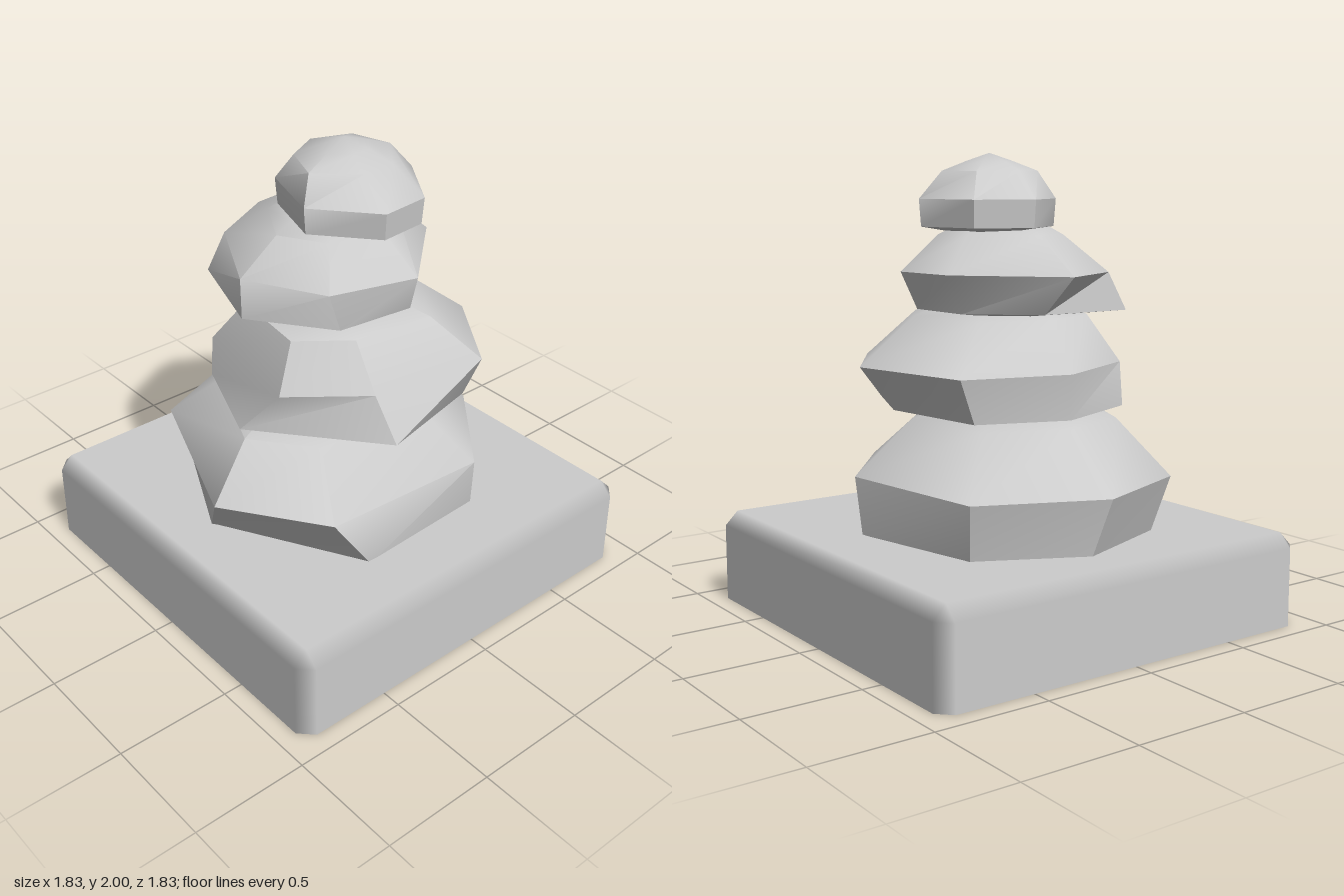
import * as THREE from 'three';
import { toCreasedNormals } from 'three/addons/utils/BufferGeometryUtils.js';

const material = new THREE.MeshStandardMaterial({ color: 0xcccccc, side: THREE.DoubleSide });

// Joins two neighbouring loops of n points with a band of triangles
function band(index, low, high, n) {
  for (let i = 0; i < n; i++) {
    const j = (i + 1) % n;
    index.push(low + j, low + i, high + i, low + j, high + i, high + j);
  }
}

function centre(loop) {
  return [0, 1].map((a) => loop.reduce((sum, p) => sum + p[a], 0) / loop.length);
}

// Scales a loop of [x, z] points about its own centre
function shrink(loop, k) {
  const [cx, cz] = centre(loop);
  return loop.map(([x, z]) => [cx + (x - cx) * k, cz + (z - cz) * k]);
}

// A rough stone: foot and girdle loops are given, the shoulder is the girdle
// scaled and shifted, and the underside and crown shrink towards their centres.
// heights: underside, foot, girdle, shoulder, crown, summit
function stone(name, heights, foot, girdle, [sx, sz, dx, dz], crownScale) {
  const shoulder = girdle.map(([x, z]) => [x * sx + dx, z * sz + dz]);
  const crown = shrink(shoulder, crownScale);
  const loops = [shrink(foot, 0.6), foot, girdle, shoulder, crown];
  const n = foot.length;
  const positions = [];
  const index = [];
  loops.forEach((loop, s) => {
    loop.forEach(([x, z]) => positions.push(x, heights[s], z));
    if (s > 0) band(index, (s - 1) * n, s * n, n);
  });
  // Closing fans below and above
  const [bx, bz] = centre(foot);
  const [tx, tz] = centre(crown);
  positions.push(bx, heights[0], bz, tx, heights[5], tz);
  const base = loops.length * n;
  for (let i = 0; i < n; i++) {
    const j = (i + 1) % n;
    index.push(base, i, j, base + 1, base - n + j, base - n + i);
  }
  const geometry = new THREE.BufferGeometry();
  geometry.setAttribute('position', new THREE.Float32BufferAttribute(positions, 3));
  geometry.setIndex(index);
  const mesh = new THREE.Mesh(toCreasedNormals(geometry, 0.7), material);
  mesh.name = name;
  return mesh;
}

// Square plinth with softly shaded chamfers and an open underside
function plinth() {
  const outer = 0.915, inner = 0.855;
  const positions = [], normals = [], index = [];
  for (const y of [0, 0.34, 0.4]) {
    const isTop = y === 0.4;
    const r = isTop ? inner : outer;
    for (let k = 0; k < 4; k++) {
      const c = Math.round(Math.cos((k * Math.PI) / 2));
      const s = Math.round(Math.sin((k * Math.PI) / 2));
      for (const side of [-inner, inner]) {
        positions.push(c * r - s * side, y, s * r + c * side);
        normals.push(...(isTop ? [0, 1, 0] : [c, 0, s]));
      }
    }
  }
  band(index, 0, 8, 8);
  band(index, 8, 16, 8);
  index.push(16, 20, 18, 16, 22, 20);
  const geometry = new THREE.BufferGeometry();
  geometry.setAttribute('position', new THREE.Float32BufferAttribute(positions, 3));
  geometry.setAttribute('normal', new THREE.Float32BufferAttribute(normals, 3));
  geometry.setIndex(index);
  const mesh = new THREE.Mesh(geometry, material);
  mesh.name = 'plinth';
  return mesh;
}

function bottomStone() {
  const foot = [[0.61, 0.31], [-0.03, 0.66], [-0.5, 0.43], [-0.68, -0.04], [-0.46, -0.48], [0.15, -0.61], [0.58, -0.3]];
  const girdle = [[0.58, 0.48], [0.16, 0.77], [-0.56, 0.49], [-0.75, 0.01], [-0.52, -0.52], [0.21, -0.61], [0.62, -0.27]];
  return stone('bottomStone', [0.36, 0.385, 0.64, 0.87, 0.91, 0.91], foot, girdle, [0.61, 0.68, 0.02, 0.05], 0.75);
}

function secondStone() {
  const foot = [[0.61, 0.18], [0.11, 0.59], [-0.32, 0.42], [-0.49, 0], [-0.35, -0.38], [0.15, -0.45], [0.5, -0.3]];
  const girdle = [[0.5, 0.2], [0.26, 0.5], [-0.3, 0.42], [-0.5, 0], [-0.37, -0.46], [0.19, -0.59], [0.57, -0.33]];
  return stone('secondStone', [0.895, 0.92, 1.11, 1.31, 1.345, 1.345], foot, girdle, [0.67, 0.68, 0.04, 0.06], 0.75);
}

function thirdStone() {
  const foot = [[0.33, 0.24], [0, 0.48], [-0.44, 0.33], [-0.42, -0.08], [-0.2, -0.34], [0.1, -0.36], [0.37, -0.1]];
  const girdle = [[0.31, 0.28], [-0.03, 0.46], [-0.42, 0.25], [-0.57, -0.05], [-0.2, -0.4], [0.1, -0.44], [0.42, -0.09]];
  return stone('thirdStone', [1.33, 1.35, 1.51, 1.66, 1.695, 1.7], foot, girdle, [0.58, 0.63, 0.01, 0], 0.75);
}

function topStone() {
  const girdle = [[0.37, 0.04], [0.12, 0.25], [-0.19, 0.15], [-0.33, -0.06], [-0.22, -0.29], [0.08, -0.36], [0.35, -0.18]];
  return stone('topStone', [1.675, 1.695, 1.81, 1.925, 1.965, 2], shrink(girdle, 0.97), girdle, [0.6, 0.74, 0, 0], 0.5);
}

export function createModel() {
  const model = new THREE.Group();
  model.name = 'stoneCairn';
  model.add(plinth(), bottomStone(), secondStone(), thirdStone(), topStone());
  return model;
}
